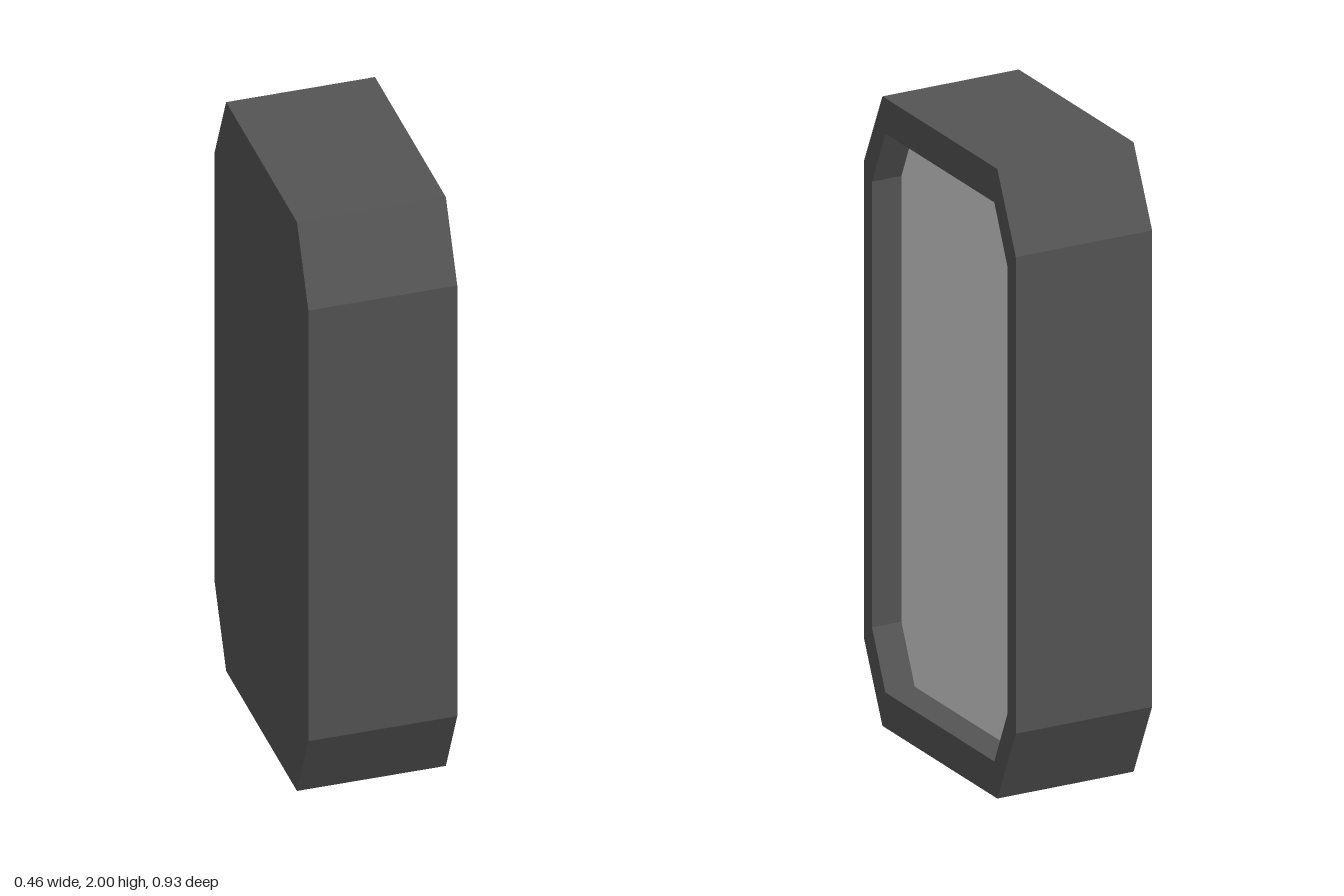
import * as THREE from 'three';

const frameMat = new THREE.MeshStandardMaterial({ color: 0x555555 });
frameMat.name = 'darkGrey';
const panelMat = new THREE.MeshStandardMaterial({ color: 0xd9d9d9 });
panelMat.name = 'lightGrey';

const MID = 1, HALF_X = 0.232, RECESS = 0.1;

// Octagon outline, counter-clockwise seen from +x; w, h are half sizes, cw, ch the chamfer corners
function octagon({ w, h, cw, ch }) {
  return [[w, -ch], [w, ch], [cw, h], [-cw, h], [-w, ch], [-w, -ch], [-cw, -h], [cw, -h]];
}
const outer = octagon({ w: 0.463, h: 1, cw: 0.35, ch: 0.757 });
const inner = octagon({ w: 0.413, h: 0.888, cw: 0.332, ch: 0.708 });
const centre = outer.map(() => [0, 0]);

// Join successive octagon rings into one flat-faced shell
function loft(rings) {
  const pos = [];
  const put = ([pts, x], i) => pos.push(x, MID + pts[i][1], -pts[i][0]);
  for (let r = 0; r < rings.length - 1; r++) {
    const a = rings[r], b = rings[r + 1];
    for (let i = 0; i < 8; i++) {
      const j = (i + 1) % 8;
      if (a[0] !== centre) { put(a, i); put(a, j); put(b, j); }
      if (b[0] !== centre) { put(a, i); put(b, j); put(b, i); }
    }
  }
  const geo = new THREE.BufferGeometry();
  geo.setAttribute('position', new THREE.Float32BufferAttribute(pos, 3));
  geo.computeVertexNormals();
  return geo;
}

export function createModel() {
  const group = new THREE.Group();
  group.name = 'recessedPanelCase';

  // Closed back, outer walls, front rim and recess walls
  const housing = new THREE.Mesh(loft([
    [centre, -HALF_X],
    [outer, -HALF_X],
    [outer, HALF_X],
    [inner, HALF_X],
    [inner, HALF_X - RECESS],
  ]), frameMat);
  housing.name = 'housing';

  // Flat light panel at the bottom of the recess
  const panel = new THREE.Mesh(loft([
    [inner, HALF_X - RECESS],
    [centre, HALF_X - RECESS],
  ]), panelMat);
  panel.name = 'panel';

  group.add(housing, panel);
  return group;
}
